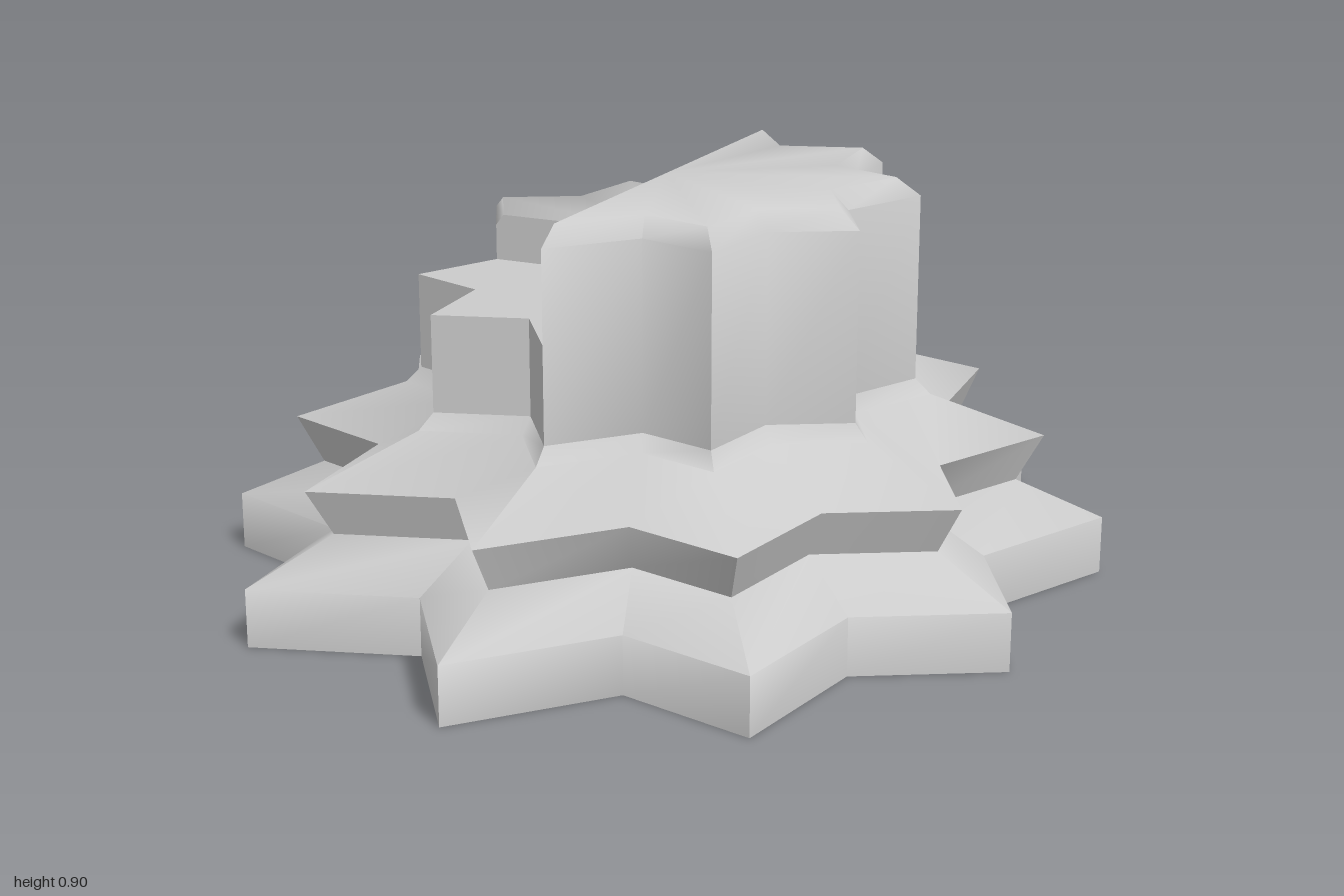
import * as THREE from 'three';
import { toCreasedNormals } from 'three/addons/utils/BufferGeometryUtils.js';

const material = new THREE.MeshStandardMaterial({ color: 0xcccccc, side: THREE.DoubleSide });

// Corner k of the ten-pointed star: even corners are tips, odd corners are notches
function corner(k, scale, y) {
  const a = THREE.MathUtils.degToRad(-9 + 18 * k);
  const rx = k % 2 ? 0.75 : 0.942;
  const rz = k % 2 ? 0.75 : 1.0125;
  return [rx * scale * Math.cos(a), y, rz * scale * Math.sin(a)];
}

function makeMesh(name, triangles) {
  const geometry = new THREE.BufferGeometry();
  geometry.setAttribute('position', new THREE.Float32BufferAttribute(triangles.flat(2), 3));
  const mesh = new THREE.Mesh(toCreasedNormals(geometry, 1.1), material);
  mesh.name = name;
  return mesh;
}

// Skin through [scale, y] rings from corner k0 to corner k1, optionally capped
function starSkin(name, rings, k0, k1, capped) {
  const triangles = [];
  for (let k = k0; k < k1; k++) {
    for (let i = 0; i + 1 < rings.length; i++) {
      const a = corner(k + 1, ...rings[i]), b = corner(k, ...rings[i]);
      const c = corner(k, ...rings[i + 1]), d = corner(k + 1, ...rings[i + 1]);
      triangles.push([a, b, c], [a, c, d]);
    }
    if (capped) {
      const top = rings[rings.length - 1];
      triangles.push([[0, top[1], 0], corner(k + 1, ...top), corner(k, ...top)]);
    }
  }
  return makeMesh(name, triangles);
}

// Upright radial face where a taller sector meets a lower one
function stepFace(name, k, profile, reversed) {
  const points = profile.map(([s, y]) => corner(k, s, y));
  const triangles = [];
  for (let i = 1; i + 1 < points.length; i++) {
    triangles.push(reversed
      ? [points[0], points[i + 1], points[i]]
      : [points[0], points[i], points[i + 1]]);
  }
  return makeMesh(name, triangles);
}

export function createModel() {
  const group = new THREE.Group();
  group.name = 'steppedStarTower';
  const foot = 0.445, wall = 0.565;

  // Open, hollow base with two star-shaped tiers
  group.add(starSkin('tieredBase',
    [[1, 0], [1, 0.13], [0.8, 0.215], [0.86, 0.32], [0.6, 0.41], [wall, foot]], 0, 20, false));

  // Tower in three sectors of different height
  group.add(starSkin('lowSector', [[wall, foot], [wall, 0.66]], 4, 9, true));
  group.add(starSkin('middleSector', [[wall, foot], [wall, 0.74], [0.54, 0.765]], 9, 14, true));
  group.add(starSkin('highSector', [[wall, foot], [wall, 0.86], [0.51, 0.9]], 14, 24, true));

  // Faces closing the height steps
  group.add(stepFace('lowToHighStep', 4,
    [[0, 0.66], [wall, 0.66], [wall, 0.86], [0.51, 0.9], [0, 0.9]], false));
  group.add(stepFace('lowToMiddleStep', 9,
    [[0, 0.66], [wall, 0.66], [wall, 0.74], [0.54, 0.765], [0, 0.765]], true));
  group.add(stepFace('middleToHighStep', 14,
    [[0, 0.765], [0.54, 0.765], [wall, 0.74], [wall, 0.86], [0.51, 0.9], [0, 0.9]], true));

  return group;
}
